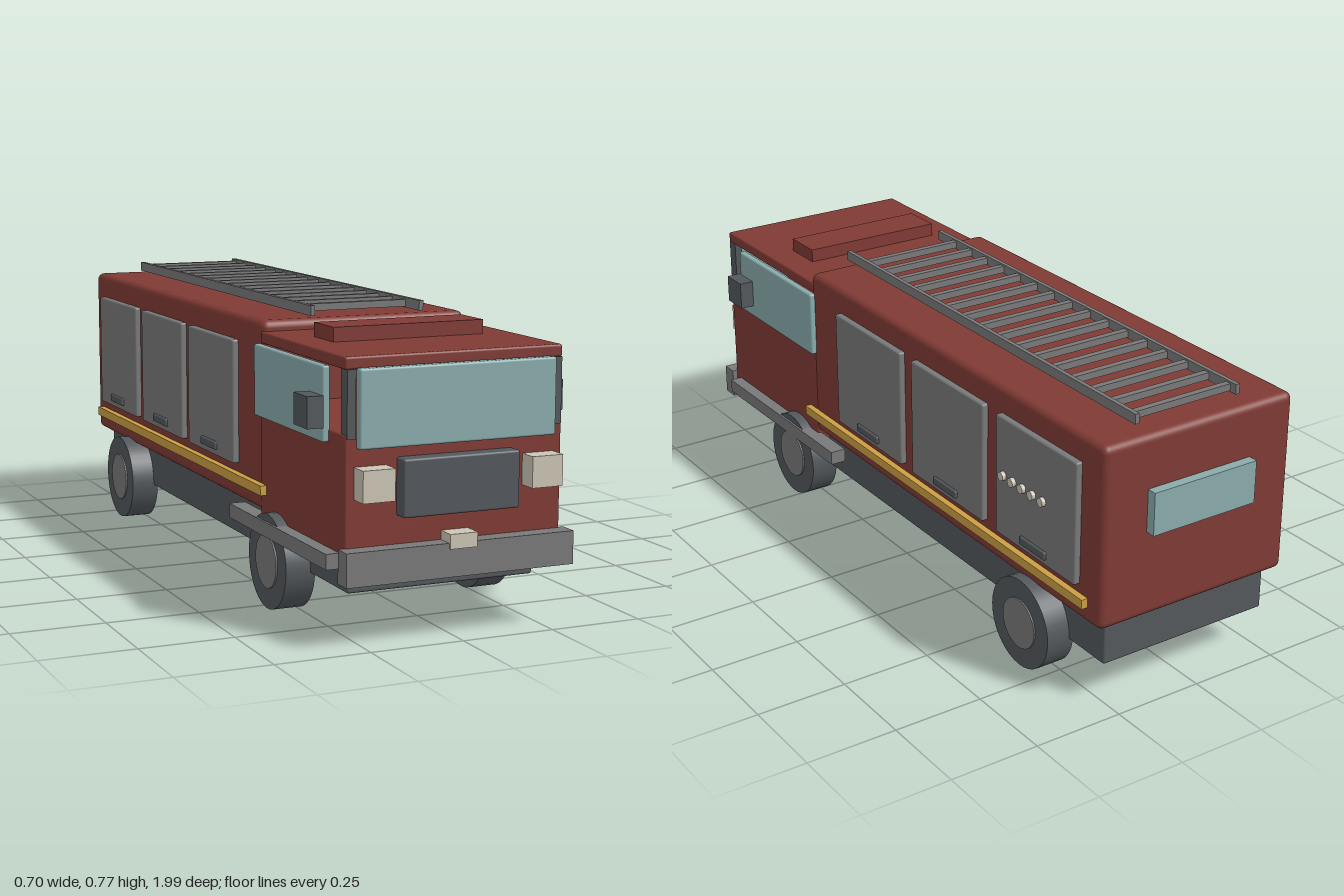
import * as THREE from 'three';
import { RoundedBoxGeometry } from 'three/addons/geometries/RoundedBoxGeometry.js';

const mat = (name, color) => {
  const m = new THREE.MeshStandardMaterial({ color });
  m.name = name;
  return m;
};

export function createModel() {
  const red = mat('red paint', 0x803a34);
  const dark = mat('dark metal', 0x53585c);
  const grey = mat('grey metal', 0x797979);
  const glass = mat('glass', 0x8aacac);
  const cream = mat('cream lamp', 0xccc5b5);
  const yellow = mat('yellow stripe', 0xcb9f43);

  const truck = new THREE.Group();
  truck.name = 'fireTruck';

  // Box given by its [min, max] range on each axis; r > 0 rounds the edges
  function box(name, m, [x0, x1], [y0, y1], [z0, z1], r = 0, parent = truck) {
    const w = x1 - x0, h = y1 - y0, d = z1 - z0;
    const geo = r ? new RoundedBoxGeometry(w, h, d, 3, r) : new THREE.BoxGeometry(w, h, d);
    const mesh = new THREE.Mesh(geo, m);
    mesh.name = name;
    mesh.position.set((x0 + x1) / 2, (y0 + y1) / 2, (z0 + z1) / 2);
    parent.add(mesh);
    return mesh;
  }
  // The same box on both sides of the truck
  function pair(name, m, [x0, x1], y, z, r = 0) {
    box(name + 'Left', m, [x0, x1], y, z, r);
    box(name + 'Right', m, [-x1, -x0], y, z, r);
  }
  // Cylinder lying along the x axis
  function disc(name, m, radius, width, x, y, z, parent = truck) {
    const mesh = new THREE.Mesh(new THREE.CylinderGeometry(radius, radius, width, 36), m);
    mesh.name = name;
    mesh.rotation.z = Math.PI / 2;
    mesh.position.set(x, y, z);
    parent.add(mesh);
  }

  // Chassis and bodywork
  box('chassis', dark, [-0.257, 0.257], [0.115, 0.25], [-0.94, 0.88], 0.006);
  box('rearBody', red, [-0.295, 0.295], [0.235, 0.735], [-0.97, 0.432], 0.02);
  box('lowerCab', red, [-0.295, 0.295], [0.195, 0.52], [0.42, 0.945], 0.006);
  box('cabRoof', red, [-0.295, 0.295], [0.676, 0.707], [0.42, 0.945], 0.006);
  box('roofBeacon', red, [-0.21, 0.21], [0.7, 0.744], [0.572, 0.69]);
  pair('frontPillar', dark, [0.268, 0.291], [0.51, 0.677], [0.914, 0.949]);

  // Windows
  box('windshield', glass, [-0.266, 0.266], [0.486, 0.68], [0.942, 0.968], 0.006);
  box('rearWindow', glass, [-0.16, 0.16], [0.475, 0.592], [-0.997, -0.965]);
  pair('sideWindow', glass, [0.29, 0.311], [0.488, 0.675], [0.412, 0.85], 0.006);
  pair('mirror', dark, [0.309, 0.352], [0.524, 0.603], [0.77, 0.853]);

  // Front details
  box('grille', dark, [-0.158, 0.158], [0.315, 0.459], [0.94, 0.985], 0.006);
  pair('headlight', cream, [0.186, 0.271], [0.363, 0.442], [0.94, 0.997]);
  box('bumper', grey, [-0.31, 0.31], [0.16, 0.245], [0.94, 0.99]);
  box('numberPlate', cream, [-0.037, 0.037], [0.231, 0.268], [0.94, 0.996]);

  // Side steps and stripes
  pair('sideStep', grey, [0.285, 0.33], [0.19, 0.229], [0.282, 0.915]);
  pair('stripe', yellow, [0.29, 0.313], [0.282, 0.308], [-0.918, 0.46]);

  // Equipment lockers with handles
  for (const z of [0.093, -0.308, -0.712]) {
    pair('lockerDoor', grey, [0.29, 0.313], [0.332, 0.667], [z - 0.172, z + 0.172], 0.006);
    pair('lockerHandle', dark, [0.308, 0.321], [0.35, 0.372], [z - 0.055, z + 0.055], 0.004);
  }

  // Pump gauges on the left side only
  for (let i = 0; i < 5; i++) disc('gauge', cream, 0.012, 0.014, 0.317, 0.508, -0.578 - i * 0.043);

  // Wheels
  for (const s of [-1, 1]) {
    for (const z of [0.532, -0.67]) {
      const wheel = new THREE.Group();
      wheel.name = 'wheel';
      disc('tyre', dark, 0.125, 0.08, s * 0.284, 0.125, z, wheel);
      disc('hub', grey, 0.07, 0.084, s * 0.286, 0.125, z, wheel);
      truck.add(wheel);
    }
  }

  // Roof ladder
  const ladder = new THREE.Group();
  ladder.name = 'ladder';
  for (const s of [-1, 1]) {
    box('ladderRail', grey, [s * 0.157 - 0.006, s * 0.157 + 0.006], [0.743, 0.77], [-0.915, 0.445], 0, ladder);
  }
  for (let i = 0; i < 16; i++) {
    const z = -0.885 + i * 0.0827;
    box('rung', grey, [-0.152, 0.152], [0.746, 0.765], [z - 0.009, z + 0.009], 0, ladder);
  }
  truck.add(ladder);

  return truck;
}
